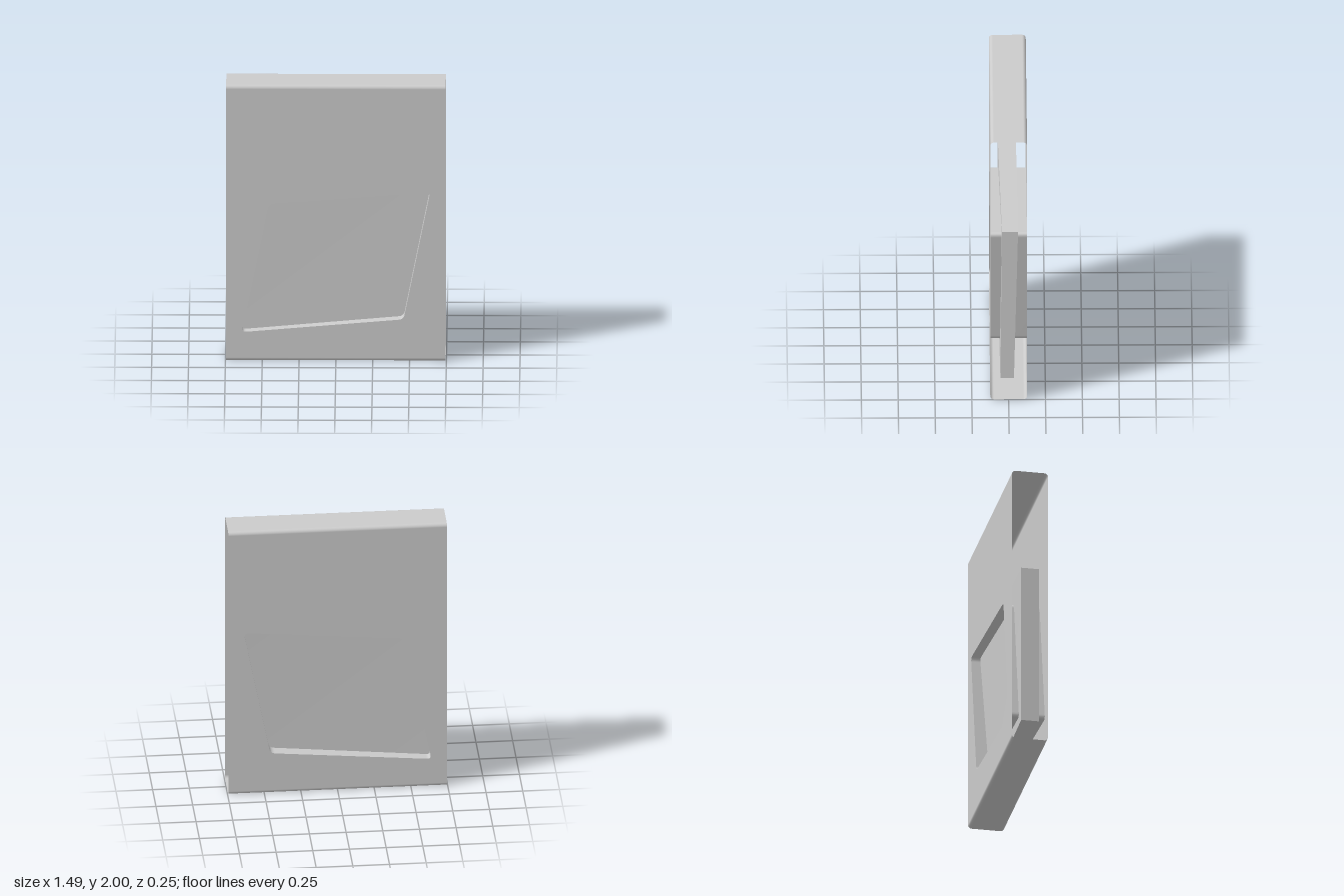
import * as THREE from 'three';

const HALF_W = 0.745, HALF_D = 0.125, HEIGHT = 2, EDGE_R = 0.025;
const WINDOW = [[-0.64, 0.21], [0.46, 0.305], [0.64, 1.23], [-0.455, 1.14]];

// Closed outline of a polygon with rounded corners
function roundedOutline(corners, r) {
  const path = new THREE.Path();
  const pts = corners.map(([x, y]) => new THREE.Vector2(x, y));
  pts.forEach((p, i) => {
    const prev = pts[(i + pts.length - 1) % pts.length];
    const next = pts[(i + 1) % pts.length];
    const a = p.clone().add(prev.clone().sub(p).setLength(r));
    const b = p.clone().add(next.clone().sub(p).setLength(r));
    if (i === 0) path.moveTo(a.x, a.y);
    else path.lineTo(a.x, a.y);
    path.quadraticCurveTo(p.x, p.y, b.x, b.y);
  });
  path.closePath();
  return path;
}

// Flat panel with the slanted window cut out
function panelGeometry(hole) {
  const shape = new THREE.Shape([
    new THREE.Vector2(-HALF_W, EDGE_R), new THREE.Vector2(HALF_W, EDGE_R),
    new THREE.Vector2(HALF_W, HEIGHT - EDGE_R), new THREE.Vector2(-HALF_W, HEIGHT - EDGE_R),
  ]);
  shape.holes.push(hole);
  return new THREE.ShapeGeometry(shape, 8);
}

// End cap: a strip across the width, rounded into the front and back panels
function capGeometry() {
  const n = 8, rows = [];
  for (const side of [-1, 1]) {
    for (let i = 0; i <= n; i++) {
      const t = (side < 0 ? i : n - i) / n * Math.PI / 2;
      rows.push([Math.sin(t), side * Math.cos(t), side]);
    }
  }
  const geo = new THREE.PlaneGeometry(2 * HALF_W, 1, 1, rows.length - 1);
  const pos = geo.attributes.position, nor = geo.attributes.normal;
  for (let i = 0; i < pos.count; i++) {
    const [ny, nz, side] = rows[Math.floor(i / 2)];
    pos.setY(i, HEIGHT / 2 - EDGE_R + EDGE_R * ny);
    pos.setZ(i, side * (HALF_D - EDGE_R) + EDGE_R * nz);
    nor.setXYZ(i, 0, ny, nz);
  }
  return geo;
}

// Wall running from the front window to the back window
function tunnelGeometry(hole) {
  const pts = hole.getPoints(8);
  const geo = new THREE.PlaneGeometry(1, 1, pts.length - 1, 1);
  const pos = geo.attributes.position;
  for (let i = 0; i < pos.count; i++) {
    const p = pts[i % pts.length];
    pos.setXYZ(i, p.x, p.y, i < pts.length ? -HALF_D : HALF_D);
  }
  geo.computeVertexNormals();
  return geo;
}

// Slab whose thickness varies slightly from corner to corner
function slabGeometry() {
  const geo = new THREE.BoxGeometry(1.44, 1.14, 1);
  const pos = geo.attributes.position;
  for (let i = 0; i < pos.count; i++) {
    const right = pos.getX(i) > 0, top = pos.getY(i) > 0, front = pos.getZ(i) > 0;
    let z = front ? 0.068 : -0.056;
    if (right && top) z = front ? 0.045 : -0.064;
    else if (right) z = front ? 0.056 : -0.036;
    pos.setZ(i, z);
  }
  geo.computeVertexNormals();
  return geo;
}

export function createModel() {
  const group = new THREE.Group();
  const thin = new THREE.MeshStandardMaterial({ color: 0xcccccc, side: THREE.DoubleSide });
  const solid = new THREE.MeshStandardMaterial({ color: 0xcccccc });
  const add = (name, geometry, material) => {
    const mesh = new THREE.Mesh(geometry, material);
    mesh.name = name;
    group.add(mesh);
    return mesh;
  };
  const hole = roundedOutline(WINDOW, 0.035);

  // Sleeve, open at both sides
  add('frontPanel', panelGeometry(hole), thin).position.z = HALF_D;
  const back = panelGeometry(hole);
  back.setIndex(Array.from(back.index.array).reverse());
  back.computeVertexNormals();
  add('backPanel', back, thin).position.z = -HALF_D;
  add('topCap', capGeometry(), thin).position.y = HEIGHT / 2;
  const bottom = add('bottomCap', capGeometry(), thin);
  bottom.position.y = HEIGHT / 2;
  bottom.rotation.x = Math.PI;

  // Window surround and the slab held inside
  add('windowTunnel', tunnelGeometry(hole), thin);
  add('innerSlab', slabGeometry(), solid).position.y = 0.72;
  return group;
}
